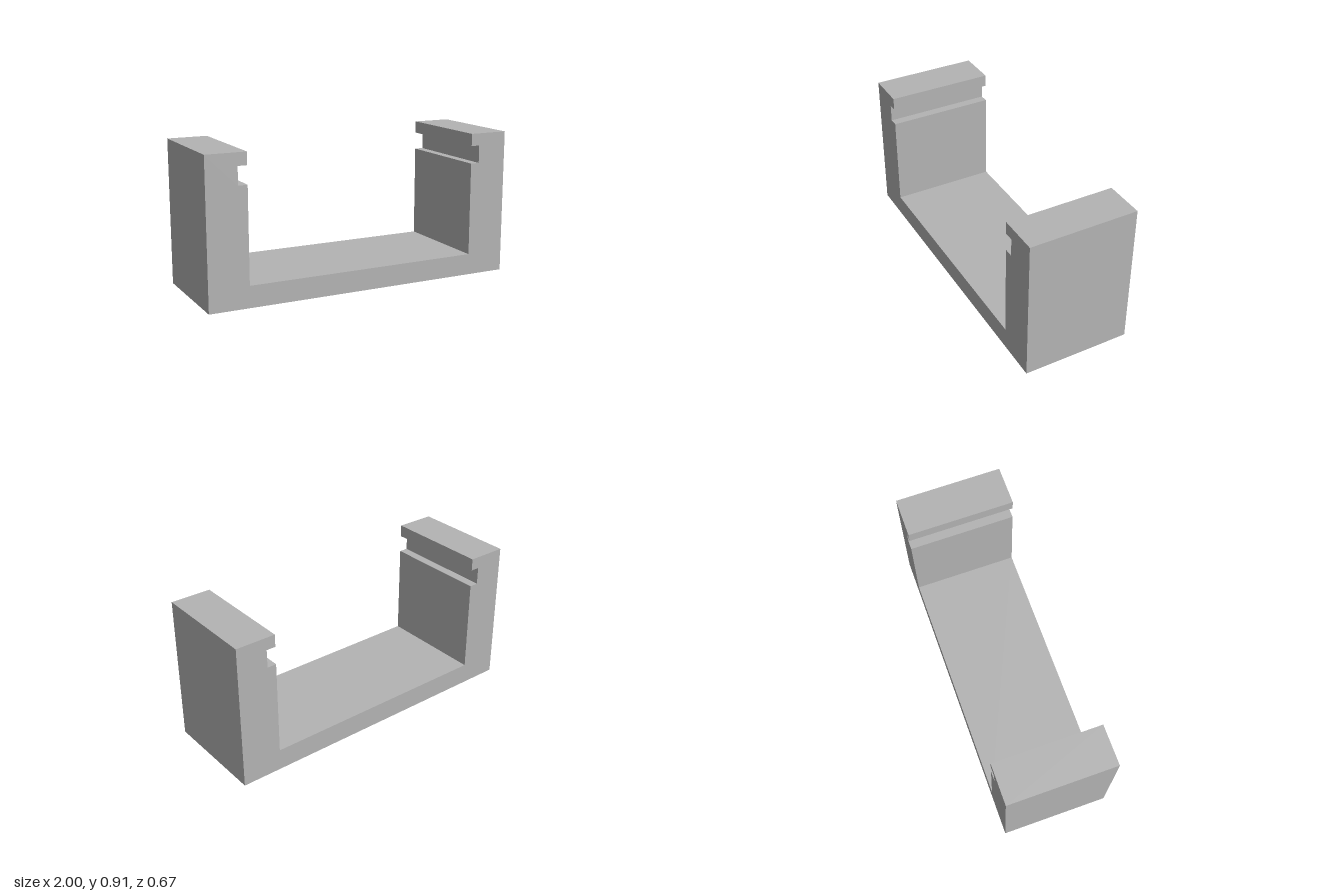
import * as THREE from 'three';

// U-shaped bracket: one mirrored profile extruded along z
export function createModel() {
  const depth = 0.672;
  const grey = new THREE.MeshStandardMaterial({ color: 0xb3b3b3 });
  grey.name = 'grey';

  // Right half of the profile, from outer base up and around the slot to the floor
  const half = [
    [1, 0], [1, 0.91],                    // outer wall
    [0.75, 0.91], [0.75, 0.833],          // top lip
    [0.807, 0.833], [0.807, 0.722],       // slot
    [0.75, 0.722], [0.75, 0.134],         // inner wall down to the floor
  ];
  const mirrored = half.map(([x, y]) => [-x, y]).reverse();
  const profile = new THREE.Shape([...half, ...mirrored].map(([x, y]) => new THREE.Vector2(x, y)));

  const geometry = new THREE.ExtrudeGeometry(profile, { depth, bevelEnabled: false });
  geometry.translate(0, 0, -depth / 2);

  const bracket = new THREE.Mesh(geometry, grey);
  bracket.name = 'slottedBracket';

  const model = new THREE.Group();
  model.name = 'channelBracket';
  model.add(bracket);
  return model;
}
